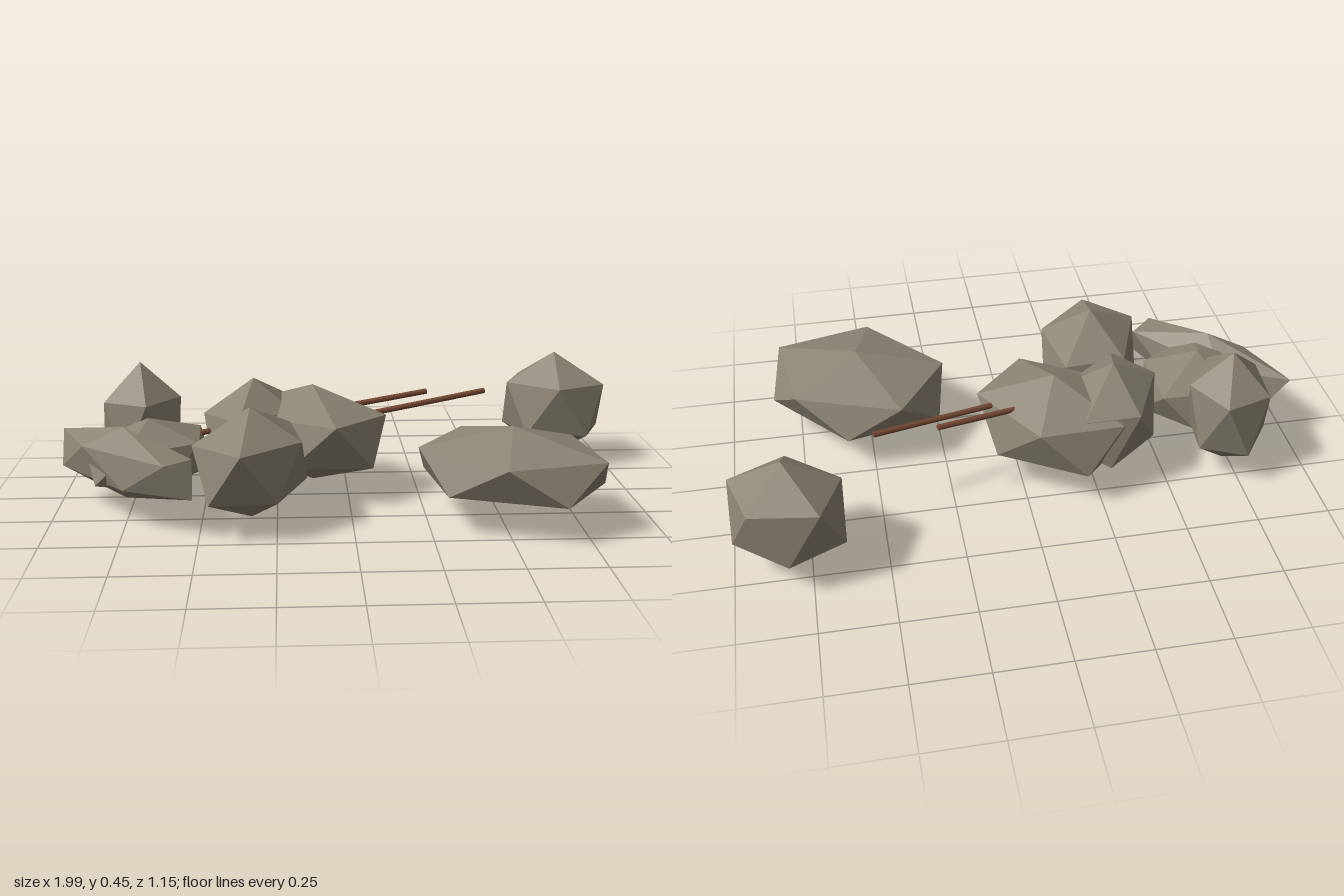
import * as THREE from 'three';

// Icosahedron standing on a vertex, with one upper ring corner toward +x
function rockGeometry() {
  const g = new THREE.IcosahedronGeometry(1, 0);
  g.rotateX(-Math.atan((1 + Math.sqrt(5)) / 2));
  g.rotateY(Math.PI / 2);
  return g;
}

// name, centre [x, y, z], radii [x, y, z], heading in degrees (from +x toward +z)
const ROCKS = [
  ['farRock', [0.81, 0.218, -0.415], [0.217, 0.203, 0.183], 24],
  ['slabRock', [0.53, 0.186, 0.289], [0.371, 0.134, 0.299], 34.5],
  ['frontRock', [-0.334, 0.209, 0.29], [0.2, 0.187, 0.272], 20],
  ['centreRock', [-0.122, 0.211, -0.072], [0.32, 0.174, 0.246], 225],
  ['innerRock', [-0.33, 0.215, -0.075], [0.175, 0.195, 0.255], 25],
  ['tallRock', [-0.732, 0.228, -0.15], [0.158, 0.227, 0.187], 4],
  ['brokenRock', [-0.685, 0.18, 0.085], [0.262, 0.13, 0.205], -45],
  ['shardRock', [-0.757, 0.185, 0.19], [0.385, 0.123, 0.11], 226],
];

// Bars run through the rubble and stick out on one side
const BARS = [
  [[-0.51, 0.245, 0.043], [0.297, 0.322, -0.208]],
  [[-0.3, 0.24, 0.07], [0.51, 0.322, -0.208]],
];

export function createModel() {
  const model = new THREE.Group();
  model.name = 'rubble';
  const stone = new THREE.MeshStandardMaterial({ color: 0x8c8474, flatShading: true });
  stone.name = 'stone';
  const rust = new THREE.MeshStandardMaterial({ color: 0x7a4a35 });
  rust.name = 'rust';

  for (const [name, centre, radii, heading] of ROCKS) {
    const rock = new THREE.Mesh(rockGeometry(), stone);
    rock.name = name;
    rock.position.set(...centre);
    rock.scale.set(...radii);
    rock.rotation.y = -THREE.MathUtils.degToRad(heading);
    model.add(rock);
  }

  BARS.forEach(([from, to], i) => {
    const a = new THREE.Vector3(...from), b = new THREE.Vector3(...to);
    const bar = new THREE.Mesh(new THREE.CylinderGeometry(0.01, 0.01, a.distanceTo(b), 8), rust);
    bar.name = `rebar${i + 1}`;
    bar.position.copy(a).lerp(b, 0.5);
    bar.quaternion.setFromUnitVectors(new THREE.Vector3(0, 1, 0), b.clone().sub(a).normalize());
    model.add(bar);
  });
  return model;
}
